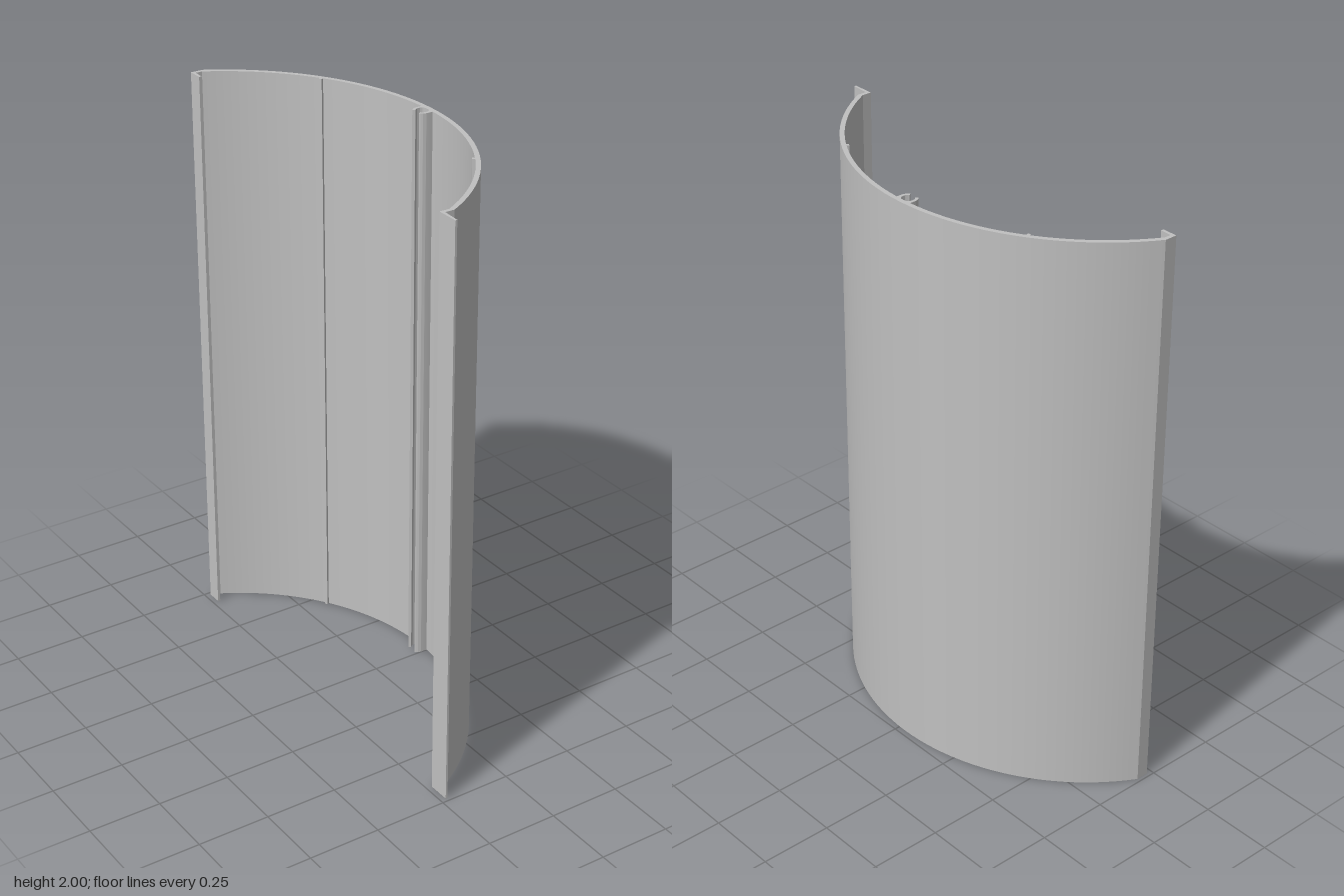
import * as THREE from 'three';
import { toCreasedNormals } from 'three/addons/utils/BufferGeometryUtils.js';

const HEIGHT = 2;
const MID = 0.032;           // profile symmetry line (profile y is -z)
const CX = -0.575;           // centre of the curved wall
const R_OUT = 0.805, R_IN = 0.789;

// Extrudes a plan profile (x, -z) upward from y = 0
function upright(name, shape, material) {
  const flat = new THREE.ExtrudeGeometry(shape, { depth: HEIGHT, bevelEnabled: false, curveSegments: 24 });
  flat.rotateX(-Math.PI / 2);
  const mesh = new THREE.Mesh(toCreasedNormals(flat, 0.5), material);
  mesh.name = name;
  return mesh;
}

export function createModel() {
  const group = new THREE.Group();
  group.name = 'curvedCoverProfile';
  const metal = new THREE.MeshStandardMaterial({ color: 0xc0c0c0 });
  metal.name = 'greyMetal';

  // Curved wall with an inward lip at the back and an outward lip at the front
  const aOut = Math.asin(0.705 / R_OUT), aIn = Math.asin(0.692 / R_IN);
  const wall = new THREE.Shape();
  wall.absarc(CX, MID, R_OUT, -aOut, aOut, false);
  wall.lineTo(-0.23, 0.737);
  wall.lineTo(-0.23, 0.684);
  wall.lineTo(-0.221, 0.684);
  wall.lineTo(-0.219, 0.724);
  wall.absarc(CX, MID, R_IN, aIn, -aIn, true);
  wall.lineTo(-0.23, -0.66);
  wall.lineTo(-0.23, -0.737);
  wall.lineTo(-0.223, -0.737);
  wall.lineTo(-0.219, -0.673);
  group.add(upright('curvedWall', wall, metal));

  // C-shaped screw channel on the inside, open away from the wall
  const cx = 0.195, rOut = 0.031, rIn = 0.021, gap = 2.5;
  const channel = new THREE.Shape();
  channel.moveTo(0.218, MID - rOut);
  channel.lineTo(0.218, MID + rOut);
  channel.absarc(cx, MID, rOut, Math.PI / 2, gap, false);
  channel.absarc(cx, MID, rIn, gap, -gap, true);
  channel.absarc(cx, MID, rOut, -gap, -Math.PI / 2, false);
  group.add(upright('screwChannel', channel, metal));

  // Small ridges on the inner face, mirrored about the middle
  for (const side of [1, -1]) {
    const a = side * Math.asin(0.421 / R_IN);
    const at = (r, da) => new THREE.Vector2(CX + r * Math.cos(a + da), MID + r * Math.sin(a + da));
    const ridge = new THREE.Shape([
      at(R_IN + 0.004, -0.008), at(R_IN + 0.004, 0.008), at(R_IN - 0.009, 0.006), at(R_IN - 0.009, -0.006),
    ]);
    group.add(upright(side > 0 ? 'backRidge' : 'frontRidge', ridge, metal));
  }
  return group;
}
